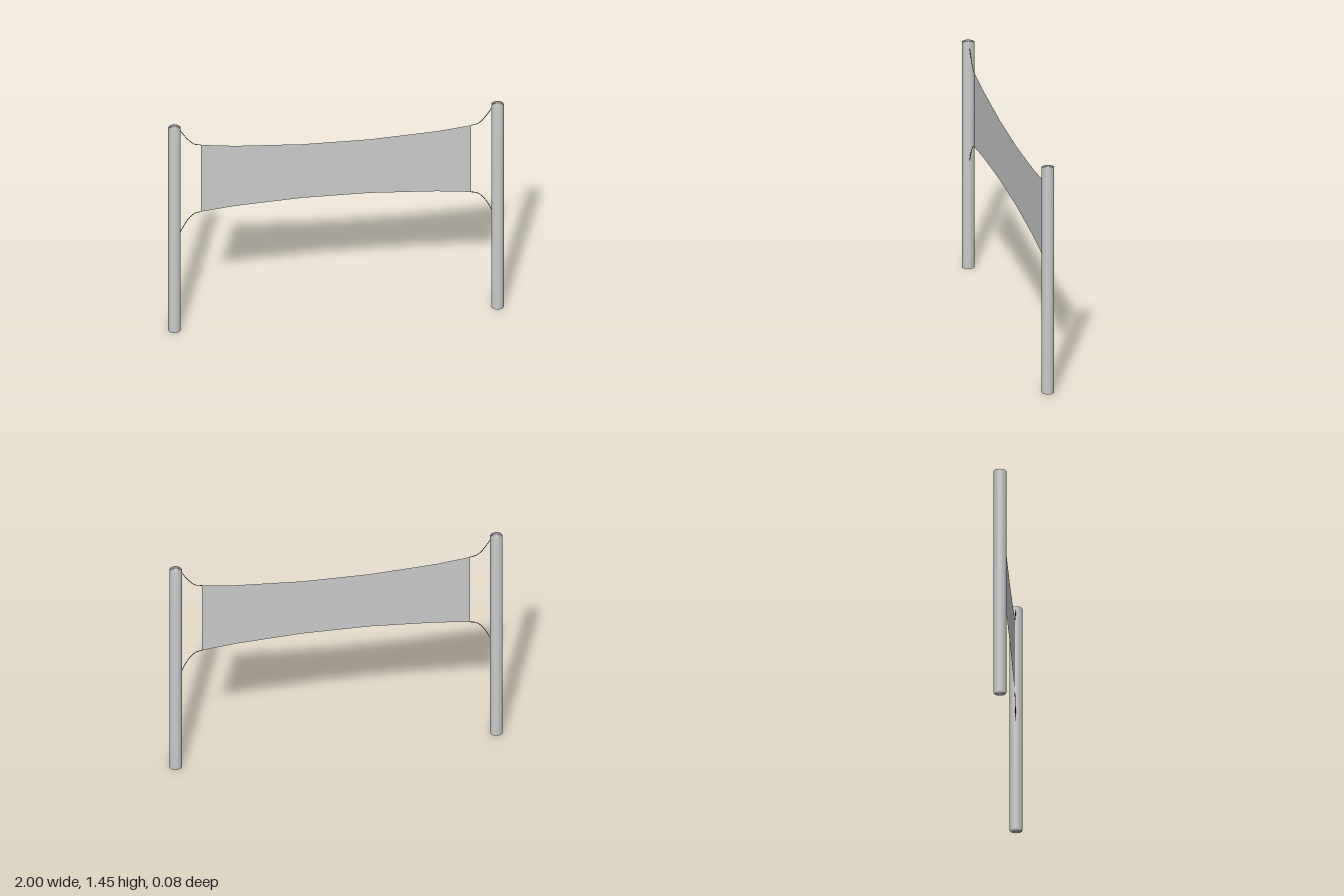
import * as THREE from 'three';
import { mergeVertices } from 'three/addons/utils/BufferGeometryUtils.js';

const POST_R = 0.0375, POST_H = 1.445, POST_X = 0.9625;

// Round post with normals blended across the rims
function postGeometry() {
  const g = new THREE.CylinderGeometry(POST_R, POST_R, POST_H, 24);
  g.deleteAttribute('uv');
  g.deleteAttribute('normal');
  const merged = mergeVertices(g, 1e-4);
  merged.computeVertexNormals();
  return merged;
}

// Thin sheet whose top and bottom edges sag towards the middle
function netGeometry() {
  const half = [[0.805, 1.31, 0.832], [0.6, 1.285, 0.855], [0.2, 1.262, 0.878]];
  const columns = [
    ...half.map(([x, top, bottom]) => [-x, top, bottom]),
    ...half.slice().reverse(),
  ];
  const g = new THREE.PlaneGeometry(1, 1, columns.length - 1, 1);
  const p = g.attributes.position;
  columns.forEach(([x, top, bottom], i) => {
    p.setXYZ(i, x, top, 0);
    p.setXYZ(i + columns.length, x, bottom, 0);
  });
  return g;
}

// Slack cord from a net corner to the post
function ropeGeometry(side, points) {
  const curve = new THREE.CatmullRomCurve3(
    points.map(([x, y]) => new THREE.Vector3(side * x, y, 0)));
  return new THREE.TubeGeometry(curve, 16, 0.002, 6);
}

export function createModel() {
  const model = new THREE.Group();
  const grey = new THREE.MeshStandardMaterial({ color: 0xcccccc });
  const netGrey = new THREE.MeshStandardMaterial({ color: 0xcccccc, side: THREE.DoubleSide });
  const brown = new THREE.MeshStandardMaterial({ color: 0x5a3c24 });

  const add = (name, geometry, material) => {
    const mesh = new THREE.Mesh(geometry, material);
    mesh.name = name;
    model.add(mesh);
    return mesh;
  };

  add('net', netGeometry(), netGrey);

  const upper = [[0.805, 1.31], [0.845, 1.32], [0.873, 1.345], [0.9, 1.38], [0.93, 1.428]];
  const lower = [[0.805, 0.832], [0.84, 0.824], [0.873, 0.795], [0.9, 0.753], [0.93, 0.69]];
  for (const [side, label] of [[1, 'left'], [-1, 'right']]) {
    add(label + 'Post', postGeometry(), grey).position.set(side * POST_X, POST_H / 2, 0);
    add(label + 'UpperRope', ropeGeometry(side, upper), brown);
    add(label + 'LowerRope', ropeGeometry(side, lower), brown);
  }
  return model;
}
